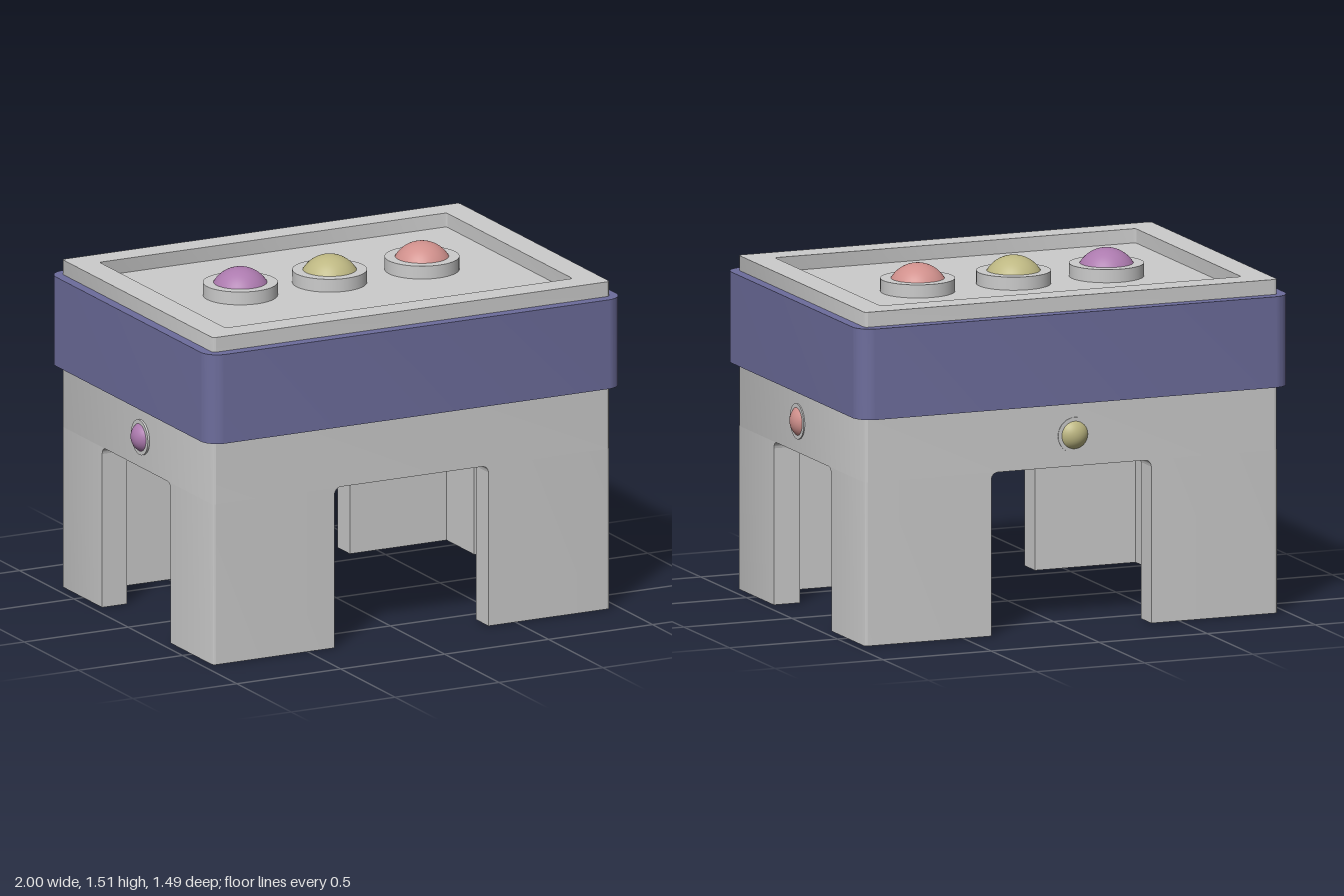
import * as THREE from 'three';
import { toCreasedNormals } from 'three/addons/utils/BufferGeometryUtils.js';

const mat = (color) => new THREE.MeshStandardMaterial({ color });
const grey = mat(0xcccccc), blue = mat(0x6d6d9c);
const red = mat(0xd0908c), yellow = mat(0xbdb782), violet = mat(0xac7aae);

const X = 0.955, Z = 0.695;         // body half sizes
const IX = 0.835, IZ = 0.58;        // inside of the walls
const ARCH = 0.71, BAND = 0.99, DECK = 1.385, TOP = 1.45;
const GAP_X = 0.37, GAP_FRONT = 0.305, GAP_BACK = 0.325, FILLET = 0.03;

function add(parent, name, geometry, material) {
  const mesh = new THREE.Mesh(geometry, material);
  mesh.name = name;
  parent.add(mesh);
  return mesh;
}

// Rounded rectangle path centred on the origin
function roundedRect(Type, hx, hy, r) {
  const p = new Type();
  p.absarc(hx - r, hy - r, r, 0, Math.PI / 2);
  p.absarc(-hx + r, hy - r, r, Math.PI / 2, Math.PI);
  p.absarc(-hx + r, -hy + r, r, Math.PI, Math.PI * 1.5);
  p.absarc(hx - r, -hy + r, r, Math.PI * 1.5, Math.PI * 2);
  p.closePath();
  return p;
}

// Footprint raised from y0 to y1 (shape y becomes -z)
function raise(shape, y0, y1) {
  const g = new THREE.ExtrudeGeometry(shape, { depth: y1 - y0, bevelEnabled: false, curveSegments: 8 });
  g.rotateX(-Math.PI / 2).translate(0, y0, 0);
  return toCreasedNormals(g, 0.6);
}

function frame(y0, y1) {
  const s = roundedRect(THREE.Shape, X, Z, 0.015);
  s.holes.push(roundedRect(THREE.Path, IX, IZ, 0.012));
  return raise(s, y0, y1);
}

// L-shaped corner leg with a softened outer edge
function leg(sx, sz) {
  const r = 0.015, gz = sz > 0 ? GAP_FRONT : GAP_BACK;
  const s = new THREE.Shape();
  const pt = (x, z) => [sx * x, -sz * z];
  s.moveTo(...pt(GAP_X, Z));
  s.lineTo(...pt(X - r, Z));
  s.quadraticCurveTo(...pt(X, Z), ...pt(X, Z - r));
  s.lineTo(...pt(X, gz));
  s.lineTo(...pt(IX, gz));
  s.lineTo(...pt(IX, IZ));
  s.lineTo(...pt(GAP_X, IZ));
  s.closePath();
  return raise(s, 0, ARCH);
}

// Concave corner piece at the top of an opening; dir points towards the leg
function fillet(dir, depth) {
  const s = new THREE.Shape();
  for (let i = 0; i <= 6; i++) {
    const a = (i / 6) * Math.PI / 2;
    const x = dir * FILLET * (Math.cos(a) - 1), y = FILLET * (Math.sin(a) - 1);
    if (i) s.lineTo(x, y); else s.moveTo(x, y);
  }
  s.lineTo(0, 0);
  s.closePath();
  const g = new THREE.ExtrudeGeometry(s, { depth, bevelEnabled: false });
  return toCreasedNormals(g.translate(0, 0, -depth / 2), 0.6);
}

// Button facing +y: collar plus a domed cap
function button(name, material, collarR, collarH, domeR, domeH, sink) {
  const g = new THREE.Group();
  g.name = name;
  const collar = add(g, 'collar', new THREE.CylinderGeometry(collarR, collarR, collarH + sink, 48), grey);
  collar.position.y = (collarH - sink) / 2;
  const R = (domeR * domeR + domeH * domeH) / (2 * domeH);
  const cap = new THREE.SphereGeometry(R, 40, 16, 0, Math.PI * 2, 0, Math.asin(Math.min(1, domeR / R)));
  add(g, 'dome', cap, material).position.y = collarH + domeH - R;
  return g;
}

export function createModel() {
  const model = new THREE.Group();
  model.name = 'table';

  // Legs and the apron above the openings
  for (const sx of [-1, 1]) {
    for (const sz of [-1, 1]) {
      add(model, 'leg', leg(sx, sz), grey);
      const a = add(model, 'openingCorner', fillet(sx, Z - IZ), grey);
      a.position.set(sx * GAP_X, ARCH, sz * (Z + IZ) / 2);
      const b = add(model, 'openingCorner', fillet(-sz, X - IX), grey);
      b.rotation.y = Math.PI / 2;
      b.position.set(sx * (X + IX) / 2, ARCH, sz > 0 ? GAP_FRONT : -GAP_BACK);
    }
  }
  add(model, 'apron', frame(ARCH, BAND), grey);

  // Wide band, tray floor and rim
  add(model, 'band', raise(roundedRect(THREE.Shape, 1, 0.745, 0.08), BAND, DECK), blue);
  add(model, 'trayFloor', raise(roundedRect(THREE.Shape, IX + 0.02, IZ + 0.02, 0.01), DECK - 0.01, DECK + 0.003), grey);
  add(model, 'rim', frame(DECK - 0.005, TOP), grey);

  // Buttons on the tray
  [[-0.437, violet], [-0.007, yellow], [0.437, red]].forEach(([x, m]) => {
    const b = button('topButton', m, 0.16, 0.06, 0.115, 0.065, 0.01);
    b.position.set(x, DECK, -0.045);
    model.add(b);
  });

  // Small buttons on both ends and the back
  const right = button('leftSideButton', red, 0.077, 0.005, 0.06, 0.027, 0.02);
  right.rotation.z = -Math.PI / 2;
  right.position.set(X, 0.845, 0.042);
  const left = button('rightSideButton', violet, 0.077, 0.009, 0.06, 0.034, 0.02);
  left.rotation.z = Math.PI / 2;
  left.position.set(-X, 0.845, 0.035);
  const back = button('backButton', yellow, 0.077, 0.003, 0.06, 0.03, 0.02);
  back.rotation.x = -Math.PI / 2;
  back.position.set(-0.015, 0.845, -Z);
  model.add(right, left, back);

  return model;
}
